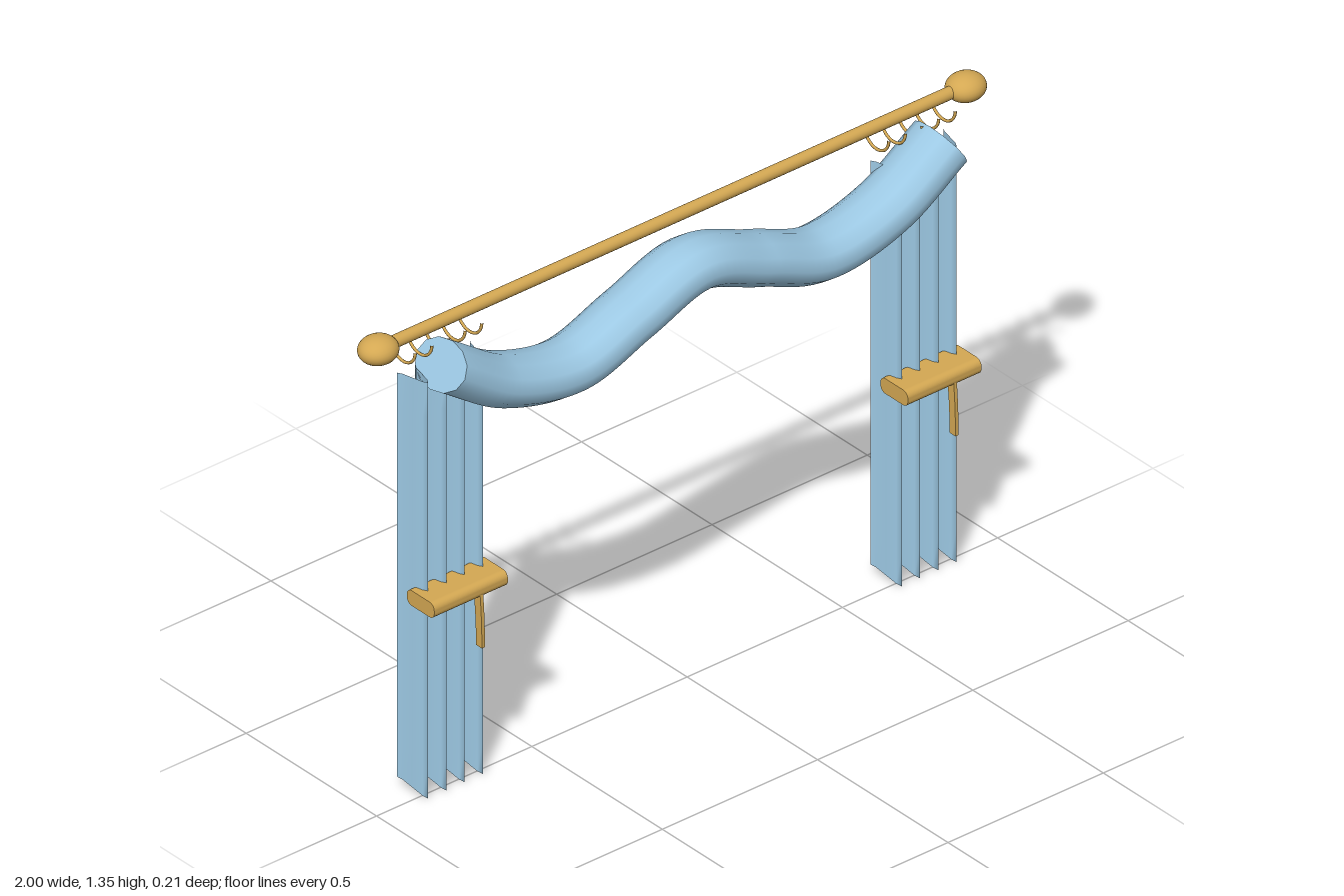
import * as THREE from 'three';

const fabric = new THREE.MeshStandardMaterial({ color: 0x9cc8e3, side: THREE.DoubleSide });
const gold = new THREE.MeshStandardMaterial({ color: 0xd4a853 });
const ROD_Y = 1.31, ROD_Z = -0.06;

function add(parent, name, geometry, material, x = 0, y = 0, z = 0) {
  const mesh = new THREE.Mesh(geometry, material);
  mesh.name = name;
  mesh.position.set(x, y, z);
  parent.add(mesh);
  return mesh;
}

// Pleated sheet with four folds; the hem rises toward the back of each fold
function curtainGeometry(width, top) {
  const geo = new THREE.PlaneGeometry(width, 1, 32, 12);
  const p = geo.attributes.position;
  for (let i = 0; i < p.count; i++) {
    const t = p.getX(i) / width + 0.5;
    const z = -0.0225 - 0.0425 * Math.cos(t * 8 * Math.PI);
    const hem = 0.035 * (0.02 - z) / 0.085;
    p.setY(i, hem + (p.getY(i) + 0.5) * (top - hem));
    p.setZ(i, z);
  }
  geo.computeVertexNormals();
  return geo;
}

// Bar with a rounded profile, running along x
function bandGeometry(length, depth, height, r) {
  const w = depth / 2, h = height / 2;
  const s = new THREE.Shape();
  s.moveTo(-w + r, -h);
  s.lineTo(w - r, -h);
  s.absarc(w - r, -h + r, r, -Math.PI / 2, 0);
  s.absarc(w - r, h - r, r, 0, Math.PI / 2);
  s.absarc(-w + r, h - r, r, Math.PI / 2, Math.PI);
  s.absarc(-w + r, -h + r, r, Math.PI, Math.PI * 1.5);
  const geo = new THREE.ExtrudeGeometry(s, { depth: length, bevelEnabled: false, curveSegments: 6 });
  return geo.translate(0, 0, -length / 2).rotateY(Math.PI / 2);
}

// Thin strap hanging from the band, profile drawn in z and y
function strapGeometry() {
  const s = new THREE.Shape();
  s.moveTo(0.052, 0.575);
  s.quadraticCurveTo(0.062, 0.5, 0.061, 0.42);
  s.lineTo(0.084, 0.42);
  s.quadraticCurveTo(0.084, 0.5, 0.077, 0.575);
  const geo = new THREE.ExtrudeGeometry(s, { depth: 0.01, bevelEnabled: false, curveSegments: 8 });
  return geo.translate(0, 0, -0.005).rotateY(-Math.PI / 2);
}

// Wavy draped roll with an oval section and flat ends
function makeSwag() {
  const swag = new THREE.Group();
  swag.name = 'swag';
  const half = [[0.805, 1.243], [0.62, 1.126], [0.4, 1.08], [0.2, 1.147]];
  const pts = [
    ...half.map(([x, y]) => new THREE.Vector3(-x, y, 0)),
    new THREE.Vector3(0, 1.213, 0),
    ...half.slice().reverse().map(([x, y]) => new THREE.Vector3(x, y, 0)),
  ];
  const curve = new THREE.CatmullRomCurve3(pts);
  const r = 0.067, stretch = 1.36;
  add(swag, 'swagRoll', new THREE.TubeGeometry(curve, 80, r, 12).scale(1, 1, stretch), fabric);
  for (const end of [0, 1]) {
    const dir = curve.getTangentAt(end).multiplyScalar(end ? 1 : -1);
    const cap = new THREE.CircleGeometry(r, 12);
    cap.applyQuaternion(new THREE.Quaternion().setFromAxisAngle(new THREE.Vector3(0, 1, 0), Math.PI / 2 * Math.sign(dir.x)));
    cap.rotateZ(Math.atan2(dir.y, dir.x) - (dir.x < 0 ? Math.PI : 0));
    const at = curve.getPointAt(end);
    cap.translate(at.x, at.y, 0).scale(1, 1, stretch);
    add(swag, 'swagEnd', cap, fabric);
  }
  swag.position.z = 0.015;
  return swag;
}

export function createModel() {
  const model = new THREE.Group();
  model.name = 'curtains';

  // Rod
  add(model, 'rod', new THREE.CylinderGeometry(0.017, 0.017, 1.84, 20).rotateZ(Math.PI / 2), gold, 0, ROD_Y, ROD_Z);

  const curtain = curtainGeometry(0.235, 1.212);
  const band = bandGeometry(0.237, 0.105, 0.044, 0.018);
  const strap = strapGeometry();
  const finial = new THREE.SphereGeometry(1, 28, 18).rotateZ(Math.PI / 2).scale(0.054, 0.037, 0.05);
  // Lower half of a ring, hanging below the rod
  const ring = new THREE.TorusGeometry(0.047, 0.004, 8, 20, Math.PI).rotateZ(Math.PI).rotateY(Math.PI / 2);

  for (const side of [-1, 1]) {
    const group = new THREE.Group();
    group.name = side > 0 ? 'leftSide' : 'rightSide';
    model.add(group);
    const cx = side * 0.7625;
    add(group, 'finial', finial, gold, side * 0.946, ROD_Y, ROD_Z + 0.002);
    add(group, 'curtainPanel', curtain, fabric, cx);
    add(group, 'tieBand', band, gold, cx, 0.583, 0.027);
    add(group, 'tieStrap', strap, gold, cx + 0.036);
    for (let i = -2; i <= 2; i++) {
      add(group, 'ring', ring, gold, cx + i * 0.0535, 1.294, -0.054);
    }
  }

  model.add(makeSwag());
  return model;
}
